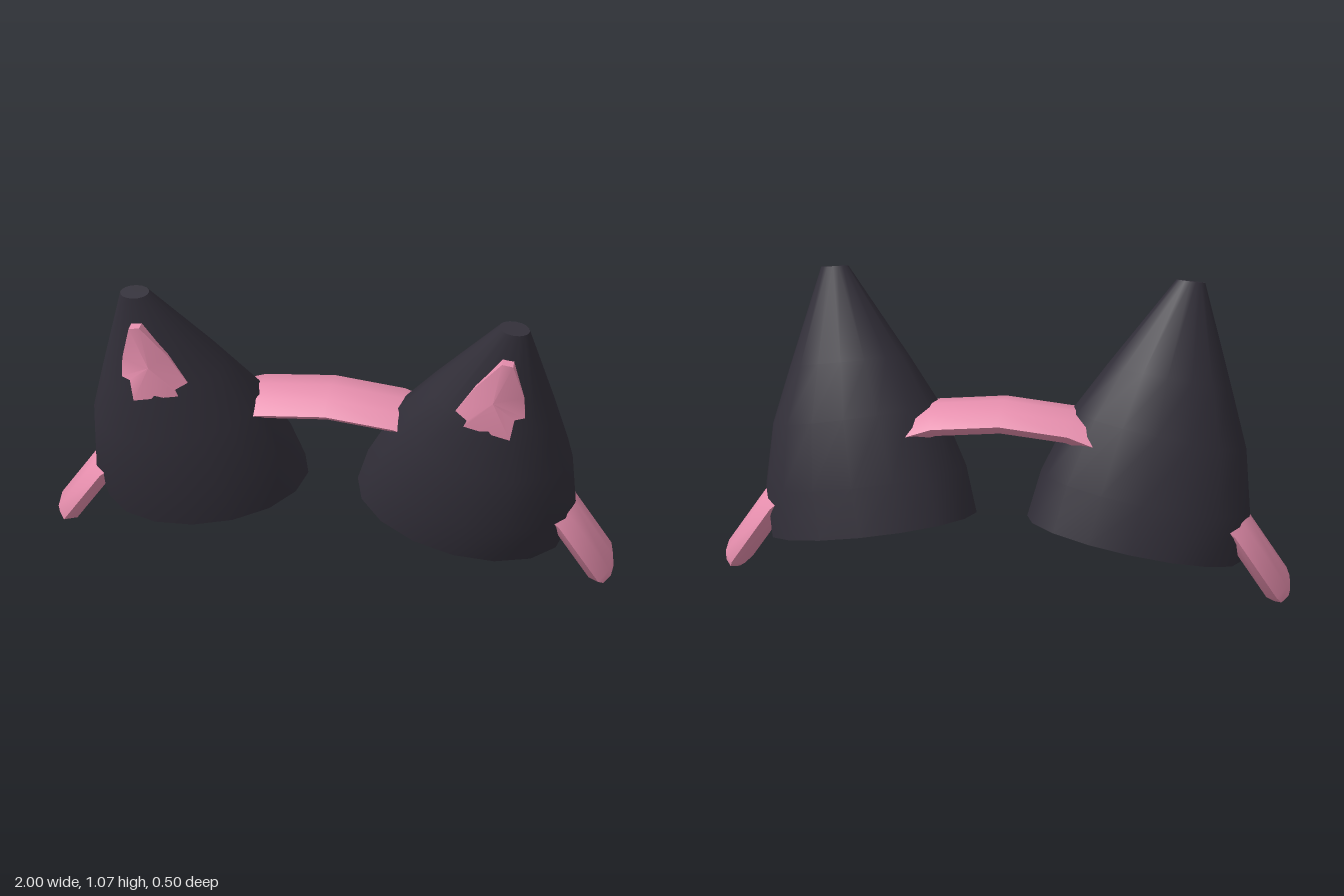
import * as THREE from 'three';
import { toCreasedNormals } from 'three/addons/utils/BufferGeometryUtils.js';

const black = new THREE.MeshStandardMaterial({ color: 0x312e38 });
const pink = new THREE.MeshStandardMaterial({ color: 0xe78fae });

function mesh(name, geometry, material) {
  const m = new THREE.Mesh(geometry, material);
  m.name = name;
  return m;
}

function fromTriangles(positions, index) {
  const g = new THREE.BufferGeometry();
  g.setAttribute('position', new THREE.Float32BufferAttribute(positions, 3));
  g.setIndex(index);
  return g;
}

// Tilted ellipses up the ear: centre, sideways half axis (x, y), forward half axis (y, z)
const EAR_RINGS = [
  { c: [0.455, 0.21, -0.022], a: [0.367, -0.063], b: [-0.047, 0.227] },
  { c: [0.488, 0.37, 0.02], a: [0.358, -0.06], b: [-0.045, 0.221] },
  { c: [0.525, 0.585, 0.065], a: [0.296, -0.055], b: [-0.045, 0.186] },
  { c: [0.55, 0.76, 0.107], a: [0.211, -0.03], b: [-0.04, 0.13] },
  { c: [0.607, 1.074, 0.181], a: [0.048, -0.004], b: [-0.008, 0.029] },
];

// A capped cylinder whose rings are moved onto the ellipses; side = 1 or -1
function earGeometry(side) {
  const g = new THREE.CylinderGeometry(1, 1, 4, 16, 4, false, Math.PI);
  const p = g.attributes.position;
  for (let i = 0; i < p.count; i++) {
    const { c, a, b } = EAR_RINGS[Math.round(p.getY(i) + 2)];
    const u = side * p.getX(i), w = p.getZ(i);
    p.setXYZ(i, side * (c[0] + a[0] * u), c[1] + a[1] * u + b[0] * w, c[2] + b[1] * w);
  }
  return toCreasedNormals(g, 0.8);
}

// Inner ear outline, counter-clockwise from the front
const INNER_EAR = [
  [0.615, 0.975, 0.248], [0.58, 0.98, 0.248], [0.5, 0.87, 0.224], [0.44, 0.765, 0.214],
  [0.48, 0.745, 0.234], [0.47, 0.72, 0.232], [0.62, 0.69, 0.24], [0.63, 0.765, 0.232],
  [0.662, 0.765, 0.214], [0.655, 0.84, 0.214],
];

// A shallow raised fan with a skirt sunk into the ear
function innerEarGeometry(side) {
  const outline = side > 0 ? INNER_EAR : [...INNER_EAR].reverse();
  const n = outline.length;
  const positions = [side * 0.56, 0.83, 0.248], index = [];
  outline.forEach(([x, y, z]) => positions.push(side * x, y, z));
  outline.forEach(([x, y, z]) => positions.push(side * x, y, z - 0.035));
  for (let i = 0; i < n; i++) {
    const a = 1 + i, b = 1 + (i + 1) % n;
    index.push(0, a, b, a, a + n, b + n, a, b + n, b);
  }
  return toCreasedNormals(fromTriangles(positions, index), 0.5);
}

// Headband: half path as x, y, section scale
const HALF_PATH = [
  [0, 0.628, 1], [0.23, 0.605, 1], [0.55, 0.49, 1], [0.8, 0.275, 1],
  [0.95, 0.06, 1], [0.968, 0.023, 0.65], [0.969, 0.021, 0],
];
// Lens section as z, height above the path
const SECTION = [
  [0.12, 0], [0.075, 0.04], [0, 0.051], [-0.075, 0.04],
  [-0.12, 0], [-0.075, -0.04], [0, -0.051], [0.075, -0.04],
];

function headbandGeometry() {
  const mirrored = HALF_PATH.slice(1).reverse().map(([x, y, s]) => [-x, y, s]);
  const path = [...mirrored, ...HALF_PATH];
  const n = SECTION.length, positions = [], index = [];
  path.forEach(([x, y, s], i) => {
    const p = path[Math.max(i - 1, 0)], q = path[Math.min(i + 1, path.length - 1)];
    const dx = q[0] - p[0], dy = q[1] - p[1], len = Math.hypot(dx, dy);
    for (const [z, h] of SECTION) {
      positions.push(x - dy / len * h * s, y + dx / len * h * s, 0.014 + z * s);
    }
    if (i === 0) return;
    for (let j = 0; j < n; j++) {
      const a = (i - 1) * n + j, b = (i - 1) * n + (j + 1) % n;
      index.push(a, a + n, b, b, a + n, b + n);
    }
  });
  return toCreasedNormals(fromTriangles(positions, index), 0.9);
}

export function createModel() {
  const model = new THREE.Group();
  model.name = 'earHeadband';
  model.add(mesh('headband', headbandGeometry(), pink));
  for (const side of [1, -1]) {
    const ear = new THREE.Group();
    ear.name = side > 0 ? 'leftEar' : 'rightEar';
    ear.add(mesh('outerEar', earGeometry(side), black));
    ear.add(mesh('innerEar', innerEarGeometry(side), pink));
    model.add(ear);
  }
  return model;
}
